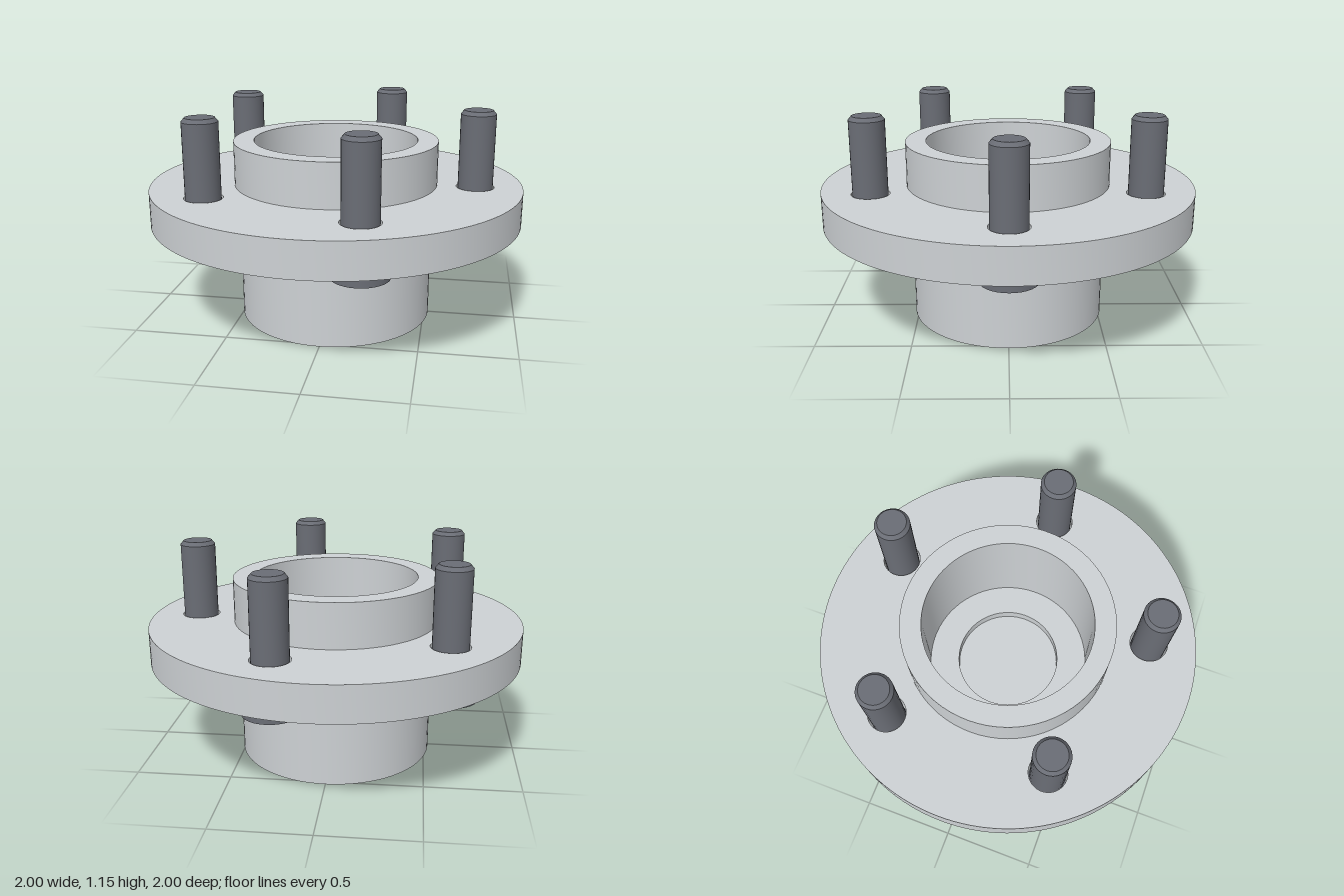
import * as THREE from 'three';
import { toCreasedNormals } from 'three/addons/utils/BufferGeometryUtils.js';

const SEGMENTS = 72;
const STUDS = 5;
const STUD_CIRCLE = 0.75;

// Turned solid from [radius, height] pairs, with sharp machined edges.
function turned(points, segments = SEGMENTS) {
  const profile = points.map(([r, y]) => new THREE.Vector2(r, y));
  return toCreasedNormals(new THREE.LatheGeometry(profile, segments), 0.5);
}

function circlePath(x, y, radius) {
  return new THREE.Path().absarc(x, y, radius, 0, Math.PI * 2, true);
}

export function createModel() {
  const model = new THREE.Group();
  model.name = 'wheelHub';

  const steel = new THREE.MeshStandardMaterial({ color: 0xcdd1d4 });
  steel.name = 'light steel';
  const darkSteel = new THREE.MeshStandardMaterial({ color: 0x6a6d75 });
  darkSteel.name = 'dark steel';

  const add = (parent, name, geometry, material) => {
    const mesh = new THREE.Mesh(geometry, material);
    mesh.name = name;
    parent.add(mesh);
    return mesh;
  };

  const studPositions = Array.from({ length: STUDS }, (_, i) => {
    const angle = (i * Math.PI * 2) / STUDS;
    return [STUD_CIRCLE * Math.cos(angle), STUD_CIRCLE * Math.sin(angle)];
  });

  // Hub barrel: recessed underside, outer wall, pilot rim and stepped bore
  add(model, 'hubBarrel', turned([
    [0, 0.3], [0.28, 0.3], [0.28, 0],
    [0.525, 0], [0.525, 0.65], [0.55, 0.65], [0.55, 0.975],
    [0.44, 0.975], [0.44, 0.42], [0.28, 0.42], [0.28, 0.36], [0, 0.36],
  ]), steel);

  // Flange disc drilled for the barrel and studs
  const disc = new THREE.Shape().absarc(0, 0, 1, 0, Math.PI * 2, false);
  disc.holes.push(circlePath(0, 0, 0.52));
  for (const [x, z] of studPositions) disc.holes.push(circlePath(x, -z, 0.1));
  const flange = new THREE.ExtrudeGeometry(disc, {
    depth: 0.185, bevelEnabled: false, curveSegments: SEGMENTS,
  });
  flange.rotateX(-Math.PI / 2).translate(0, 0.555, 0);
  add(model, 'flange', toCreasedNormals(flange, 0.5), steel);

  // Wheel studs: chamfered shanks with round heads under the flange
  const shank = turned([[0, 0.52], [0.092, 0.52], [0.092, 1.13], [0.075, 1.15], [0, 1.15]], 32);
  const head = turned([[0, 0.475], [0.145, 0.475], [0.145, 0.557], [0, 0.557]], 32);
  for (const [x, z] of studPositions) {
    const stud = new THREE.Group();
    stud.name = 'wheelStud';
    stud.position.set(x, 0, z);
    add(stud, 'studShank', shank, darkSteel);
    add(stud, 'studHead', head, darkSteel);
    model.add(stud);
  }

  return model;
}
